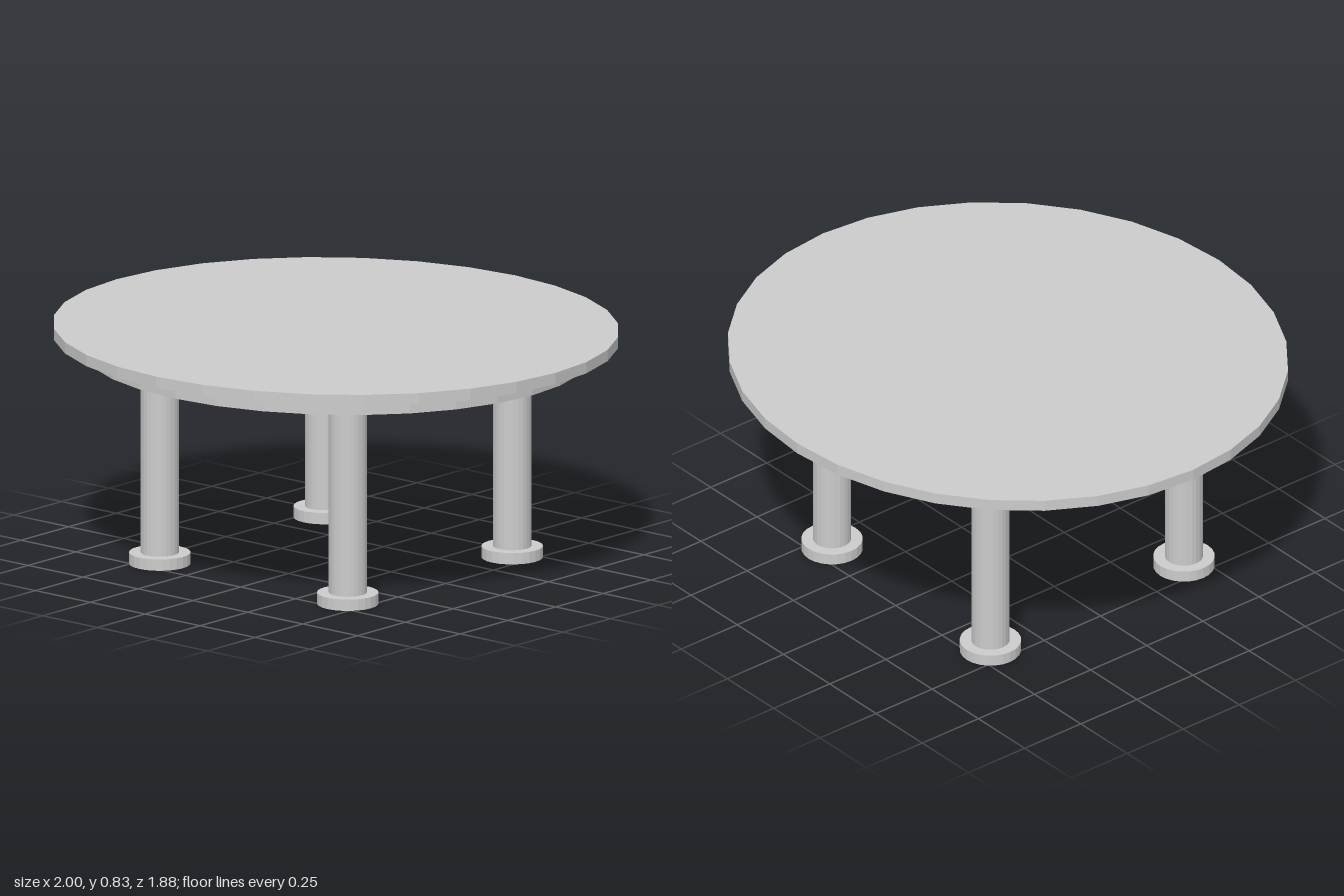
import * as THREE from 'three';

const material = new THREE.MeshStandardMaterial({ color: 0xcccccc, flatShading: true });

// Upright disc or post from y0 to y1, optionally squashed along z
function disc(name, radius, y0, y1, sides, depthScale = 1) {
  const geometry = new THREE.CylinderGeometry(radius, radius, y1 - y0, sides);
  geometry.scale(1, 1, depthScale);
  const mesh = new THREE.Mesh(geometry, material);
  mesh.name = name;
  mesh.position.y = (y0 + y1) / 2;
  return mesh;
}

export function createModel() {
  const table = new THREE.Group();
  table.name = 'table';

  // Slightly oval top with a smaller apron beneath it
  table.add(disc('tableTop', 1, 0.79, 0.83, 32, 0.94));
  table.add(disc('apron', 0.895, 0.733, 0.79, 32, 0.94));

  // Four round legs, each on a wider foot
  for (const [side, sx] of [['Left', 1], ['Right', -1]]) {
    for (const [end, sz] of [['front', 1], ['back', -1]]) {
      const leg = new THREE.Group();
      leg.name = `${end}${side}Leg`;
      leg.add(disc('post', 0.066, 0.04, 0.733, 24));
      leg.add(disc('foot', 0.106, 0, 0.04, 24));
      leg.position.set(sx * 0.428, 0, sz * 0.431);
      table.add(leg);
    }
  }
  return table;
}
